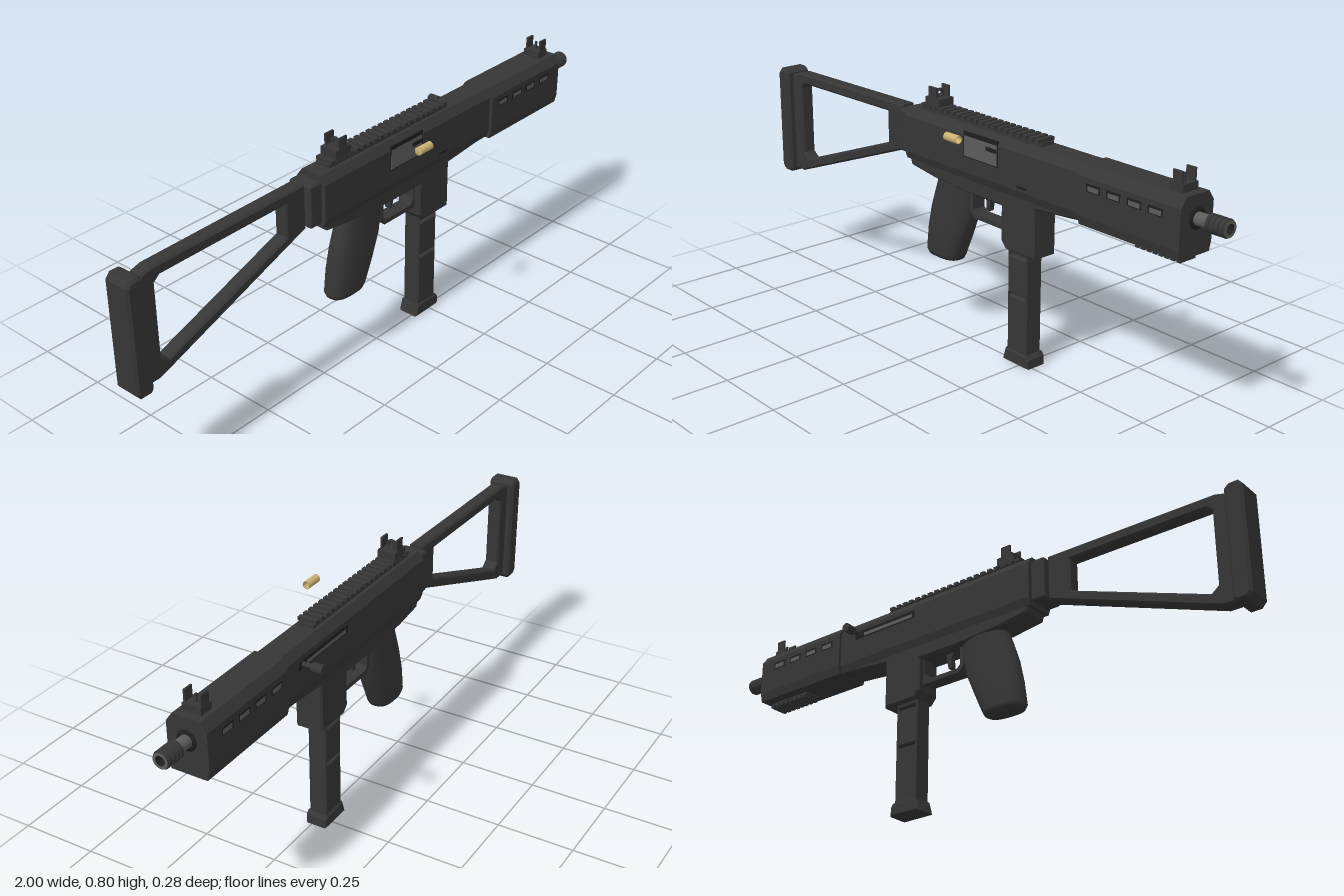
import * as THREE from 'three';
import { RoundedBoxGeometry } from 'three/addons/geometries/RoundedBoxGeometry.js';

export function createModel() {
  const model = new THREE.Group();
  const body = new THREE.Group();
  body.name = 'body';
  body.position.z = -0.016;
  model.add(body);

  const mat = (name, color) => {
    const m = new THREE.MeshStandardMaterial({ color });
    m.name = name;
    return m;
  };
  const black = mat('black polymer', 0x363636);
  const dark = mat('dark recess', 0x1f1f1f);
  const steel = mat('grey steel', 0x5c5c5c);
  const brass = mat('brass', 0xcdb272);

  const add = (name, geo, m = black, parent = body) => {
    const mesh = new THREE.Mesh(geo, m);
    mesh.name = name;
    parent.add(mesh);
    return mesh;
  };
  // Box given by its limits on each axis
  const box = (name, x0, x1, y0, y1, z0, z1, m) => {
    const b = add(name, new THREE.BoxGeometry(x1 - x0, y1 - y0, z1 - z0), m);
    b.position.set((x0 + x1) / 2, (y0 + y1) / 2, (z0 + z1) / 2);
    return b;
  };
  const vectors = (pts) => pts.map((p) => new THREE.Vector2(p[0], p[1]));
  // Side profile extruded across the width, with optional holes and bevel
  const sideProfile = (name, pts, half, bevel = 0, holes = [], m = black) => {
    const shape = new THREE.Shape(vectors(pts));
    holes.forEach((h) => shape.holes.push(new THREE.Path(vectors(h))));
    const geo = new THREE.ExtrudeGeometry(shape, {
      depth: 2 * (half - bevel), bevelEnabled: bevel > 0, bevelSize: bevel,
      bevelThickness: bevel, bevelOffset: -bevel, bevelSegments: 1,
    });
    geo.translate(0, 0, bevel - half);
    return add(name, geo, m);
  };
  // Symmetric cross-section (half width, height) extruded along the length
  const crossSection = (name, pts, x0, x1) => {
    const mirrored = pts.map(([z, y]) => [-z, y]).reverse();
    const geo = new THREE.ExtrudeGeometry(new THREE.Shape(vectors([...pts, ...mirrored])),
      { depth: x1 - x0, bevelEnabled: false });
    geo.rotateY(Math.PI / 2);
    geo.translate(x0, 0, 0);
    return add(name, geo);
  };
  // Lathe about the length axis; points are (radius, x)
  const turned = (name, pts, y, z, m, parent = body) => {
    const geo = new THREE.LatheGeometry(vectors(pts), 24);
    geo.rotateZ(-Math.PI / 2);
    const mesh = add(name, geo, m, parent);
    mesh.position.set(0, y, z);
    return mesh;
  };

  // Upper receiver and handguard
  crossSection('receiver', [[0.046, 0.55], [0.055, 0.575], [0.055, 0.692], [0.036, 0.718]], -0.27, 0.515);
  crossSection('handguard', [[0.058, 0.546], [0.065, 0.575], [0.065, 0.692], [0.045, 0.72]], 0.515, 0.888);

  // Lower receiver with magazine well
  sideProfile('lowerReceiver', [[-0.265, 0.575], [-0.25, 0.53], [-0.14, 0.515], [0.02, 0.505], [0.175, 0.505],
    [0.175, 0.395], [0.195, 0.372], [0.32, 0.372], [0.32, 0.53], [0.51, 0.548], [0.51, 0.575]], 0.046, 0.006);

  // Trigger guard and trigger
  sideProfile('triggerGuard', [[0.01, 0.52], [0.01, 0.44], [0.03, 0.42], [0.18, 0.42], [0.18, 0.52]], 0.024, 0,
    [[[0.024, 0.51], [0.024, 0.447], [0.036, 0.435], [0.155, 0.435], [0.17, 0.455], [0.17, 0.51]]]);
  sideProfile('trigger', [[0.055, 0.515], [0.072, 0.485], [0.07, 0.455], [0.082, 0.453], [0.09, 0.49], [0.088, 0.515]], 0.01);

  // Pistol grip lofted through oval sections: height, rear x, front x, half width
  const sections = [[0.53, -0.14, 0.022, 0.044], [0.47, -0.163, 0.018, 0.042], [0.41, -0.183, 0.008, 0.044],
    [0.34, -0.197, -0.022, 0.046], [0.262, -0.207, -0.056, 0.043], [0.247, -0.2, -0.064, 0.038]];
  const sides = 24, pos = [], idx = [];
  const power = (v) => Math.sign(v) * Math.abs(v) ** 0.75;
  sections.forEach(([y, a, b, w], i) => {
    for (let j = 0; j < sides; j++) {
      const t = (j / sides) * Math.PI * 2;
      pos.push((a + b) / 2 + ((b - a) / 2) * power(Math.cos(t)), y, w * power(Math.sin(t)));
      const k = (j + 1) % sides, r = i * sides, s = r + sides;
      if (i < sections.length - 1) idx.push(r + j, r + k, s + j, r + k, s + k, s + j);
      else idx.push(sections.length * sides, r + j, r + k);
    }
  });
  pos.push(-0.132, 0.247, 0);
  const gripGeo = new THREE.BufferGeometry();
  gripGeo.setAttribute('position', new THREE.Float32BufferAttribute(pos, 3));
  gripGeo.setIndex(idx);
  gripGeo.computeVertexNormals();
  add('grip', gripGeo);

  // Magazine with two witness slits
  const slit = (y) => [[0.201, y], [0.27, y], [0.27, y + 0.007], [0.201, y + 0.007]];
  sideProfile('magazine', [[0.193, 0.03], [0.279, 0.03], [0.279, 0.385], [0.193, 0.385]], 0.031, 0.004,
    [slit(0.222), slit(0.352)]);
  sideProfile('magazineBase', [[0.178, 0], [0.292, 0], [0.292, 0.03], [0.282, 0.042], [0.19, 0.042]], 0.036, 0.004);

  // Skeleton stock: connector, open frame and butt pad
  const joint = add('stockConnector', new RoundedBoxGeometry(0.052, 0.14, 0.086, 2, 0.008));
  joint.position.set(-0.293, 0.633, 0);
  sideProfile('stockFrame', [[-0.945, 0.345], [-0.9, 0.345], [-0.318, 0.56], [-0.318, 0.71], [-0.9, 0.703], [-0.945, 0.69]],
    0.024, 0.006, [[[-0.89, 0.415], [-0.865, 0.395], [-0.4, 0.565], [-0.4, 0.672], [-0.87, 0.667], [-0.89, 0.65]]]);
  sideProfile('buttPad', [[-1, 0.35], [-0.985, 0.333], [-0.95, 0.333], [-0.94, 0.345],
    [-0.94, 0.695], [-0.955, 0.708], [-0.985, 0.708], [-1, 0.69]], 0.046, 0.008);

  // Accessory rails
  const rail = (name, x0, x1, yBase, dir, count, half) => {
    const slab = (n, a, b, h0, h1, w) => box(n, a, b, Math.min(yBase + dir * h0, yBase + dir * h1),
      Math.max(yBase + dir * h0, yBase + dir * h1), -w, w);
    slab(name, x0, x1, -0.004, 0.011, half - 0.006);
    const pitch = (x1 - x0) / count;
    for (let i = 0; i < count; i++) {
      slab(name + 'Tooth', x0 + pitch * (i + 0.2), x0 + pitch * (i + 0.8), 0.01, 0.022, half);
    }
  };
  rail('topRail', -0.22, 0.325, 0.718, 1, 20, 0.031);
  rail('lowerRail', 0.7, 0.87, 0.548, -1, 8, 0.031);

  // Sights with paired ears
  const ears = (name, x0, x1, y0, y1, at) => [-1, 1].forEach((s) =>
    box(name, x0, x1, y0, y1, s * at - 0.003, s * at + 0.003));
  box('rearSightBase', -0.195, -0.13, 0.735, 0.765, -0.03, 0.03);
  ears('rearSightEar', -0.18, -0.145, 0.76, 0.8, 0.026);
  const ring = add('rearSightRing', new THREE.TorusGeometry(0.012, 0.005, 8, 20));
  ring.rotation.y = Math.PI / 2;
  ring.position.set(-0.163, 0.776, 0);
  box('frontSightBase', 0.815, 0.862, 0.715, 0.743, -0.03, 0.03);
  ears('frontSightEar', 0.824, 0.856, 0.74, 0.779, 0.026);
  box('frontSightPost', 0.837, 0.843, 0.74, 0.768, -0.003, 0.003);

  // Barrel, collar and ribbed hollow muzzle
  turned('barrelCollar', [[0.031, 0.88], [0.031, 0.892], [0.019, 0.892]], 0.653, 0, dark);
  turned('barrel', [[0.019, 0.86], [0.019, 0.945]], 0.653, 0, steel);
  const ribs = [[0.019, 0.936]];
  for (let i = 0; i < 4; i++) {
    const x = 0.936 + i * 0.016;
    ribs.push([0.027, x], [0.027, x + 0.01], [0.024, x + 0.011], [0.024, x + 0.015]);
  }
  ribs.push([0.024, 1]);
  const muzzle = turned('muzzle', ribs, 0.653, 0, black);
  muzzle.geometry = muzzle.geometry.toNonIndexed();
  muzzle.geometry.computeVertexNormals();
  turned('muzzleRim', [[0.024, 1], [0.015, 1]], 0.653, 0, steel);
  turned('bore', [[0.015, 1], [0.015, 0.95], [0, 0.95]], 0.653, 0, dark);

  // Handguard vents on both sides
  for (const s of [-1, 1]) {
    const plate = (name, x0, x1, y0, y1, z, m) => box(name, x0, x1, y0, y1, s * z - 0.002, s * z + 0.002, m);
    for (let i = 0; i < 4; i++) {
      const x = 0.547 + i * 0.076;
      plate('ventFrame', x, x + 0.052, 0.652, 0.676, 0.064, dark);
      plate('ventInside', x + 0.006, x + 0.047, 0.655, 0.669, 0.0646, steel);
    }
  }

  // Ejection port with bolt
  box('portFrame', 0.018, 0.172, 0.624, 0.706, 0.052, 0.056, dark);
  box('bolt', 0.022, 0.168, 0.628, 0.692, 0.053, 0.057, steel);
  box('extractor', 0.12, 0.168, 0.667, 0.68, 0.054, 0.058, dark);
  box('magazineCatch', 0.255, 0.297, 0.585, 0.592, 0.053, 0.0565, dark);

  // Charging slot and handle on the far side
  box('chargingSlot', 0.19, 0.45, 0.652, 0.678, -0.0565, -0.053, dark);
  box('chargingRod', 0.2, 0.41, 0.656, 0.667, -0.0572, -0.054, steel);
  const pin = (name, r, z0, z1) => {
    const geo = new THREE.CylinderGeometry(r, r, z1 - z0, 20);
    geo.rotateX(Math.PI / 2);
    add(name, geo).position.set(0.43, 0.666, (z0 + z1) / 2);
  };
  pin('chargingStem', 0.008, -0.1, -0.05);
  pin('chargingKnob', 0.015, -0.125, -0.091);

  // Ejected cartridge case
  turned('cartridgeCase', [[0, 0.042], [0.013, 0.042], [0.013, 0.047], [0.011, 0.049], [0.011, 0.052],
    [0.013, 0.054], [0.013, 0.098], [0.01, 0.098], [0.01, 0.06], [0, 0.06]], 0.712, 0.128, brass, model);

  return model;
}
